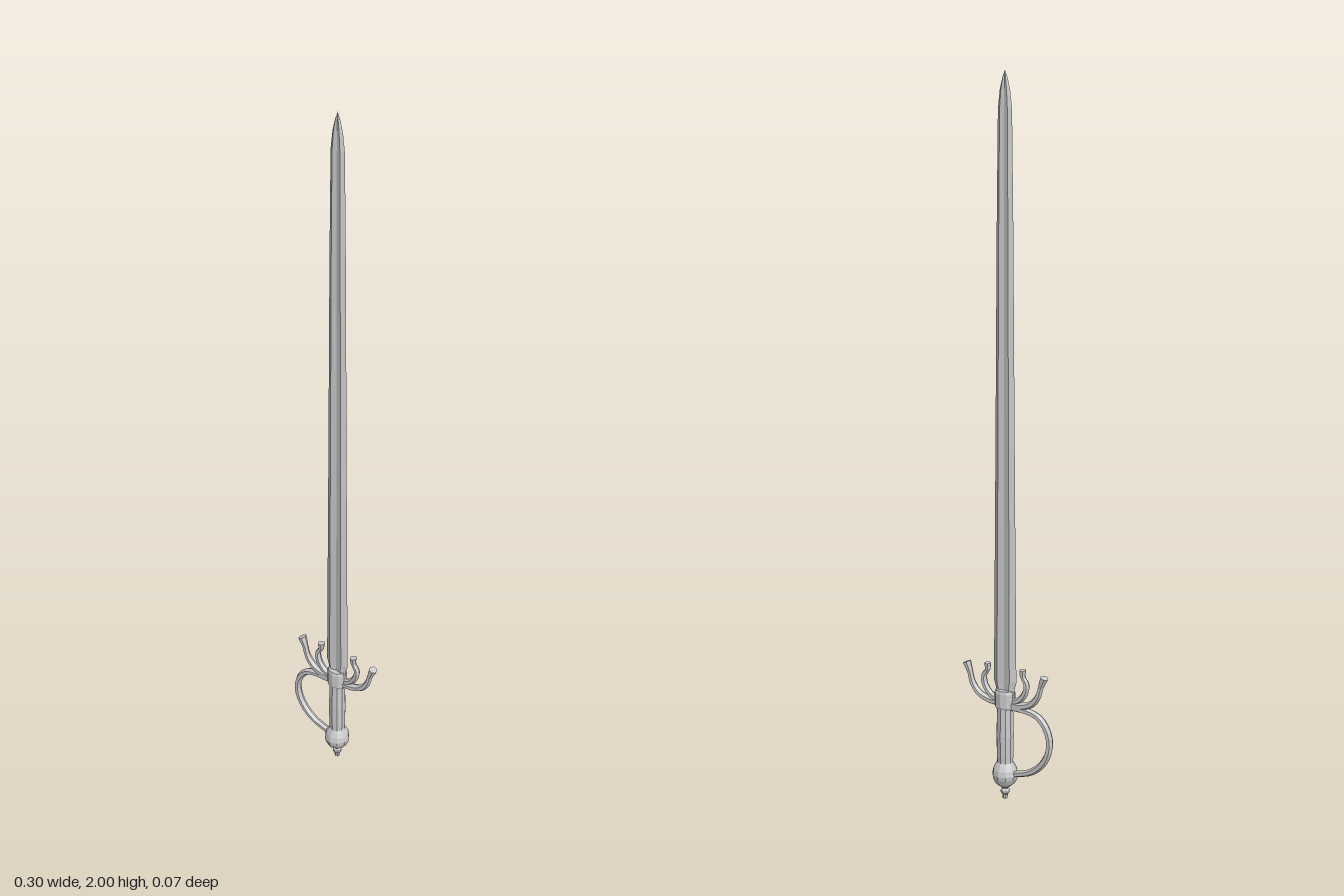
import * as THREE from 'three';

const AXIS = 0.008; // the sword's long axis sits slightly off x = 0
const steel = new THREE.MeshStandardMaterial({ color: 0xcccccc, flatShading: true });

function part(name, geometry, x = 0) {
  const mesh = new THREE.Mesh(geometry, steel);
  mesh.name = name;
  mesh.position.x = x;
  return mesh;
}

// Skin a list of equally sized closed rings of points
function loft(rings) {
  const n = rings[0].length;
  const index = [];
  for (let i = 0; i < rings.length - 1; i++) {
    for (let j = 0; j < n; j++) {
      const a = i * n + j, b = i * n + (j + 1) % n;
      index.push(a, b, a + n, b, b + n, a + n);
    }
  }
  const geometry = new THREE.BufferGeometry().setFromPoints(rings.flat());
  geometry.setIndex(index);
  const flat = geometry.toNonIndexed();
  flat.computeVertexNormals();
  return flat;
}

// Six-sided bar along a curve in the xy plane; radii are spread over its length
function bar(points, radii, steps) {
  const curve = new THREE.CatmullRomCurve3(points.map(([x, y]) => new THREE.Vector3(x, y, 0)));
  const rings = [];
  const addRing = (u, r) => {
    const p = curve.getPointAt(u), t = curve.getTangentAt(u);
    rings.push(Array.from({ length: 6 }, (_, k) => {
      const a = k * Math.PI / 3, c = r * Math.cos(a);
      return new THREE.Vector3(p.x - t.y * c, p.y + t.x * c, r * 1.12 * Math.sin(a));
    }));
  };
  addRing(0, 0);
  for (let i = 0; i <= steps; i++) {
    const f = i / steps * (radii.length - 1), k = Math.min(Math.floor(f), radii.length - 2);
    addRing(i / steps, THREE.MathUtils.lerp(radii[k], radii[k + 1], f - k));
  }
  addRing(1, 0);
  return loft(rings);
}

function turned(profile, sides) {
  return new THREE.LatheGeometry(profile.map(([r, y]) => new THREE.Vector2(r, y)), sides);
}

export function createModel() {
  const sword = new THREE.Group();
  sword.name = 'sword';

  // Blade: two ridges with a shallow central fuller, [y, half width, half thickness]
  const stations = [[0.29, 0.03, 0.01], [0.325, 0.031, 0.01], [0.345, 0.037, 0.01], [1.0, 0.031, 0.009],
    [1.6, 0.026, 0.008], [1.9, 0.022, 0.007], [1.95, 0.016, 0.006], [1.98, 0.008, 0.004], [2.0, 0, 0]];
  const section = [[-1, 0], [-0.55, 1], [0, 0.55], [0.55, 1], [1, 0], [0.55, -1], [0, -0.55], [-0.55, -1]];
  sword.add(part('blade', loft(stations.map(([y, w, t]) =>
    section.map(([x, z]) => new THREE.Vector3(x * w, y, z * t)))), AXIS));

  // Collar where the blade meets the guard
  const collar = turned([[0, 0.265], [0.027, 0.265], [0.031, 0.272], [0.031, 0.312], [0.028, 0.32], [0, 0.32]], 10);
  collar.scale(1, 1, 0.8);
  sword.add(part('collar', collar, AXIS));

  // Grip, pommel and the small button under it
  sword.add(part('grip', turned([[0.022, 0.09], [0.024, 0.13], [0.025, 0.19], [0.023, 0.27]], 10), AXIS));
  sword.add(part('pommel', turned([[0, 0.033], [0.015, 0.036], [0.028, 0.047], [0.035, 0.061], [0.037, 0.073],
    [0.034, 0.088], [0.028, 0.1], [0.022, 0.11], [0, 0.11]], 10), AXIS));
  sword.add(part('pommelButton', turned([[0, 0], [0.007, 0], [0.008, 0.012], [0.013, 0.018], [0.013, 0.025],
    [0.009, 0.03], [0.012, 0.04]], 8), AXIS));

  // Upswept guard branches with flared tips, mirrored about the blade
  for (const s of [-1, 1]) {
    const side = s > 0 ? 'left' : 'right';
    const flip = (pts) => pts.map(([x, y]) => [s * x, y]);
    sword.add(part(side + 'OuterBranch', bar(
      flip([[0.015, 0.28], [0.05, 0.281], [0.085, 0.293], [0.108, 0.32], [0.117, 0.35], [0.128, 0.378]]),
      [0.011, 0.011, 0.01, 0.009, 0.008, 0.012], 15), AXIS));
    sword.add(part(side + 'InnerBranch', bar(
      flip([[0.02, 0.287], [0.046, 0.297], [0.066, 0.322], [0.07, 0.348], [0.058, 0.368], [0.058, 0.387]]),
      [0.009, 0.009, 0.009, 0.009, 0.007, 0.01], 15), AXIS));
  }

  // Knuckle bow from the guard round to the pommel
  sword.add(part('knuckleBow', bar(
    [[-0.01, 0.272], [-0.06, 0.271], [-0.1, 0.261], [-0.126, 0.234], [-0.138, 0.195], [-0.132, 0.157],
      [-0.111, 0.122], [-0.075, 0.094], [-0.015, 0.075]],
    [0.01, 0.01, 0.01, 0.009], 20)));

  return sword;
}
